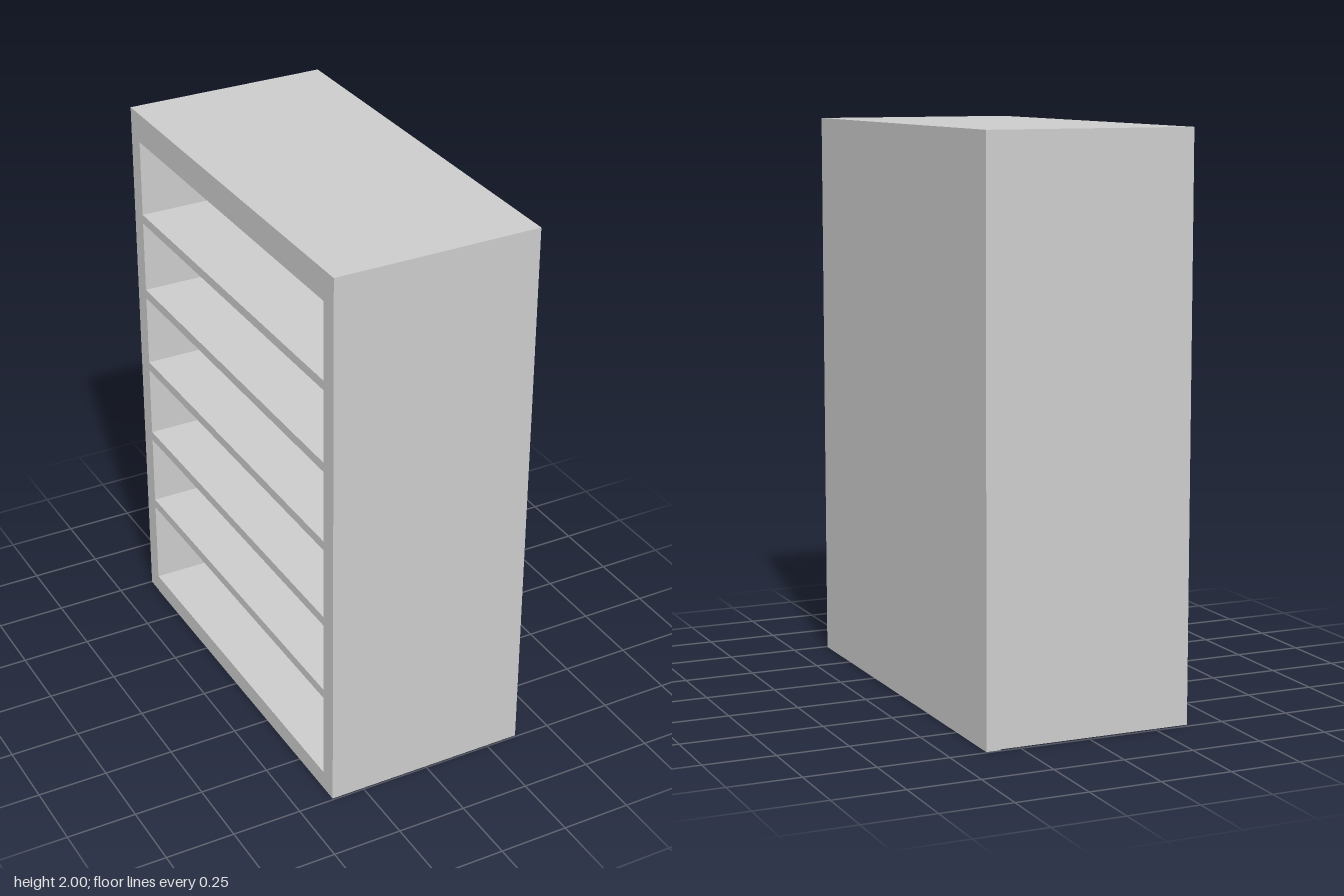
import * as THREE from 'three';

// Bookcase: open on the -x side, closed by a back panel on the +x side.
const W = 0.738, H = 2, D = 1.488; // sizes along x, y, z
const SIDE = 0.065, BASE = 0.068, TOP = 0.107, BACK = 0.05, SHELF = 0.034;

export function createModel() {
  const group = new THREE.Group();
  const material = new THREE.MeshStandardMaterial({ color: 0xcccccc });

  // Box given by its minimum and maximum corners
  const panel = (name, [x0, y0, z0], [x1, y1, z1]) => {
    const geometry = new THREE.BoxGeometry(x1 - x0, y1 - y0, z1 - z0);
    const mesh = new THREE.Mesh(geometry, material);
    mesh.position.set((x0 + x1) / 2, (y0 + y1) / 2, (z0 + z1) / 2);
    mesh.name = name;
    group.add(mesh);
  };

  const open = -W / 2, inner = W / 2 - BACK, z = D / 2, zi = D / 2 - SIDE;

  // Carcass; the rear side panel stops a hair above the floor
  panel('backPanel', [inner, 0, -z], [W / 2, H, z]);
  panel('frontSide', [open, 0, zi], [inner, H, z]);
  panel('rearSide', [open, 0.003, -z], [inner, H, -zi]);
  panel('topPanel', [open, H - TOP, -zi], [inner, H, zi]);
  panel('basePanel', [open, 0, -zi], [inner, BASE, zi]);

  // Five evenly spaced shelves, flush with the open face
  for (let i = 0; i < 5; i++) {
    const top = 0.42 + i * 0.2985;
    panel(`shelf${i + 1}`, [open, top - SHELF, -zi], [inner, top, zi]);
  }

  return group;
}
